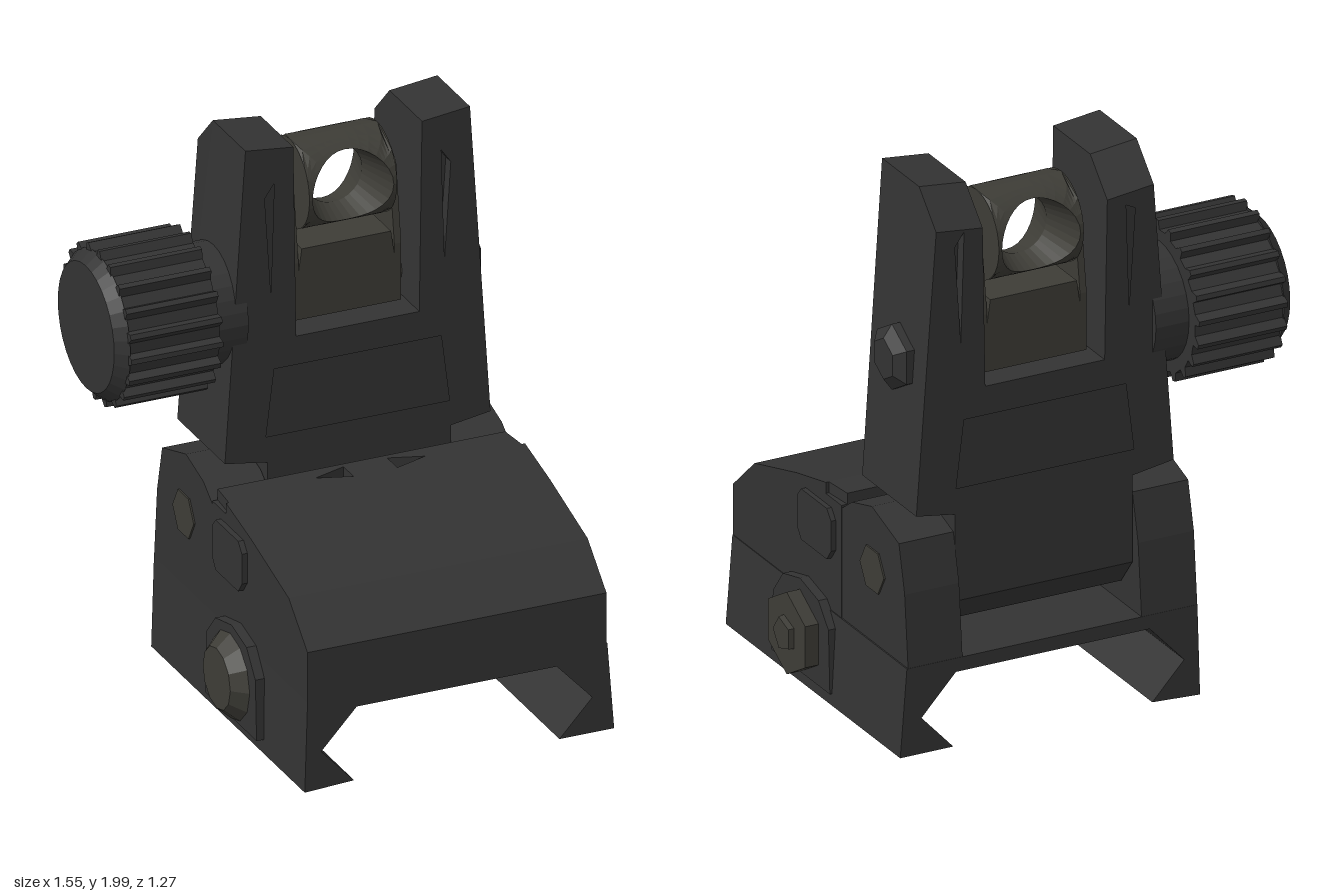
import * as THREE from 'three';
import { ParametricGeometry } from 'three/addons/geometries/ParametricGeometry.js';

const CX = 0.125; // mirror plane of the body, in x
const body = new THREE.MeshStandardMaterial({ color: 0x333333, flatShading: true });
const steel = new THREE.MeshStandardMaterial({ color: 0x3d3c36, flatShading: true });

const toShape = (pts, holes = []) => {
  const s = new THREE.Shape(pts.map(([x, y]) => new THREE.Vector2(x, y)));
  holes.forEach(h => s.holes.push(new THREE.Path(h.map(([x, y]) => new THREE.Vector2(x, y)))));
  return s;
};
const mirror = pts => pts.map(([x, y]) => [2 * CX - x, y]);

// Prism of an (x, y) outline running from z0 to z1
function frontPrism(pts, z0, z1, holes, steps = 1) {
  return new THREE.ExtrudeGeometry(toShape(pts, holes), { depth: z1 - z0, steps, bevelEnabled: false }).translate(0, 0, z0);
}
// Prism of a (z, y) outline running from x0 to x1
function sidePrism(pts, x0, x1) {
  return new THREE.ExtrudeGeometry(toShape(pts.map(([z, y]) => [-z, y])), { depth: x1 - x0, bevelEnabled: false })
    .rotateY(Math.PI / 2).translate(x0, 0, 0);
}
// Round or polygonal rod along x, radius r0 at x0 and r1 at x1
function rod(x0, x1, r0, r1, y, z, sides, turn = 0) {
  return new THREE.CylinderGeometry(r1, r0, x1 - x0, sides).rotateY(turn).rotateZ(-Math.PI / 2)
    .translate((x0 + x1) / 2, y, z);
}
function box(x0, x1, y0, y1, z0, z1) {
  return new THREE.BoxGeometry(x1 - x0, y1 - y0, z1 - z0).translate((x0 + x1) / 2, (y0 + y1) / 2, (z0 + z1) / 2);
}

export function createModel() {
  const model = new THREE.Group();
  model.name = 'foldingSight';
  const add = (name, geometry, material = body) => {
    const mesh = new THREE.Mesh(geometry, material);
    mesh.name = name;
    model.add(mesh);
  };

  // Clamp with the dovetail channel underneath
  add('railClamp', frontPrism([
    [-0.43, 0.01], [-0.25, 0.02], [-0.37, 0.15], [-0.24, 0.29], [0.49, 0.29], [0.62, 0.15],
    [0.5, 0.02], [0.7, 0.02], [0.675, 0.34], [-0.42, 0.34],
  ], -0.595, 0.63));

  // Sloping front housing, and its rear top plate with two arrow recesses
  add('frontHousing', sidePrism([
    [0.63, 0.33], [0.63, 0.525], [0.48, 0.66], [0.18, 0.745], [-0.02, 0.79], [-0.02, 0.75], [-0.13, 0.75], [-0.13, 0.33],
  ], -0.42, 0.672));
  const arrow = [[-0.07, 0.07], [0.05, 0.11], [0.05, 0.03]];
  add('topPlate', frontPrism(
    [[-0.41, 0.02], [0.66, 0.02], [0.65, 0.13], [-0.4, 0.13]], 0.75, 0.79, [arrow, mirror(arrow).map(([x, y]) => [x + 0.01, y])],
  ).rotateX(-Math.PI / 2));

  // Hinge ears, hinge pins and side buttons
  const ear = [[-0.12, 0.33], [-0.13, 0.74], [-0.2, 0.79], [-0.34, 0.83], [-0.53, 0.77], [-0.57, 0.6], [-0.595, 0.33]];
  add('rightEar', sidePrism(ear, -0.42, -0.21));
  add('leftEar', sidePrism(ear, 0.465, 0.67));
  const button = [[-0.09, 0.57], [-0.06, 0.53], [0.12, 0.53], [0.15, 0.57], [0.15, 0.68], [0.12, 0.715], [-0.06, 0.715], [-0.09, 0.68]];
  add('rightButton', sidePrism(button, -0.44, -0.4));
  add('leftButton', sidePrism(button, 0.65, 0.69));
  add('rightHingePin', rod(-0.426, -0.4, 0.085, 0.085, 0.605, -0.35, 6), steel);
  add('leftHingePin', rod(0.65, 0.676, 0.085, 0.085, 0.605, -0.35, 6), steel);

  // Clamp screws on their bosses
  const boss = [[0.3, 0.06], [0.29, 0.28], [0.22, 0.37], [0.1, 0.4], [-0.03, 0.37], [-0.1, 0.29], [-0.11, 0.06]];
  add('leftBoss', sidePrism(boss, 0.64, 0.705));
  add('rightBoss', sidePrism(boss, -0.455, -0.4));
  add('leftNut', rod(0.7, 0.755, 0.15, 0.15, 0.21, 0.1, 6, Math.PI / 2), steel);
  add('leftStud', rod(0.75, 0.775, 0.065, 0.06, 0.21, 0.1, 5), steel);
  add('rightScrewHead', rod(-0.505, -0.45, 0.11, 0.16, 0.21, 0.09, 12), steel);

  // Foot of the upright between the ears
  add('uprightFoot', sidePrism([
    [-0.16, 0.87], [-0.54, 0.87], [-0.54, 0.52], [-0.46, 0.42], [-0.16, 0.42],
  ], -0.205, 0.465));

  // Upright with two protecting posts; window and slits are recesses on both faces
  const half = [[-0.2, 0.835], [-0.36, 0.86], [-0.285, 2], [-0.11, 1.98], [-0.1, 1.28]];
  const windowCut = [[-0.18, 1.175], [0.43, 1.175], [0.46, 0.93], [-0.21, 0.93]];
  const slit = [[-0.215, 1.81], [-0.18, 1.86], [-0.192, 1.45]];
  const upright = frontPrism([...half, ...mirror(half).reverse()], -0.54, -0.16, [windowCut, slit, mirror(slit)], 2);
  const p = upright.attributes.position;
  for (let i = 0; i < p.count; i++) {
    // Chamfer the rear top edge of the posts
    if (Math.abs(p.getZ(i) + 0.35) < 0.01) p.setZ(i, -0.42);
    if (p.getZ(i) < -0.5 && p.getY(i) > 1.9) p.setY(i, p.getY(i) - 0.12);
  }
  upright.computeVertexNormals();
  add('upright', upright);
  add('windowFloor', box(-0.25, 0.5, 0.9, 1.22, -0.5, -0.2));
  add('rightSlitFloor', box(-0.24, -0.13, 1.4, 1.88, -0.5, -0.2));
  add('leftSlitFloor', box(0.38, 0.49, 1.4, 1.88, -0.5, -0.2));

  // Adjustment knob with sawtooth grip
  const KY = 1.365, KZ = -0.355, teeth = 20, grip = [];
  for (let i = 0; i < teeth; i++) {
    [[0, 0.25], [0.5, 0.255], [0.72, 0.283], [0.92, 0.28]].forEach(([f, r]) => {
      const a = (i + f) / teeth * Math.PI * 2;
      grip.push([KZ + r * Math.cos(a), KY + r * Math.sin(a)]);
    });
  }
  add('knobGrip', sidePrism(grip, -0.74, -0.405));
  add('knobCap', rod(-0.778, -0.735, 0.225, 0.262, KY, KZ, 32));
  add('knobCollar', rod(-0.41, -0.28, 0.21, 0.21, KY, KZ, 28));
  add('axleNut', rod(0.55, 0.6, 0.12, 0.12, KY, KZ + 0.005, 6, Math.PI / 2));
  add('axleNutTip', rod(0.6, 0.632, 0.12, 0.075, KY, KZ + 0.005, 6, Math.PI / 2));

  // Sliding carrier with two tapered arms
  add('windageAxle', rod(-0.13, 0.38, 0.055, 0.055, KY, KZ, 12), steel);
  add('carrier', frontPrism([[-0.075, 1.29], [0.325, 1.29], [0.288, 1.55], [-0.038, 1.55]], -0.46, -0.25), steel);
  const arm = [[-0.25, 1.29], [-0.25, 1.5], [-0.29, 1.78], [-0.33, 1.82], [-0.38, 1.82], [-0.42, 1.78], [-0.46, 1.5], [-0.46, 1.29]];
  add('rightArm', sidePrism(arm, -0.075, -0.05), steel);
  add('leftArm', sidePrism(arm, 0.3, 0.325), steel);
  add('apertureAxleRight', rod(-0.095, -0.02, 0.035, 0.035, 1.745, KZ, 10), steel);
  add('apertureAxleLeft', rod(0.27, 0.34, 0.035, 0.035, 1.745, KZ, 10), steel);

  // Aperture: a drum along x, pierced along z by a hole flared at both ends
  const R = 0.16;
  const drum = new ParametricGeometry((u, v, target) => {
    const a = u * Math.PI * 2, c = Math.cos(a), s = Math.sin(a);
    const step = Math.round(v * 10), side = step < 5 ? 1 : -1;
    if (step === 5) return target.set(0.105 * c, 0.105 * s, 0);
    let rim = 0.13;
    for (let k = 0; k < 8; k++) rim = 0.105 + 0.27 * Math.sqrt(R * R - (rim * s) ** 2);
    const edge = R / Math.max(Math.abs(c), Math.abs(s));
    const r = THREE.MathUtils.lerp(rim, edge, (Math.abs(step - 5) - 1) / 4);
    target.set(r * c, r * s, side * Math.sqrt(Math.max(0, R * R - (r * s) ** 2)));
  }, 32, 10).translate(CX, 1.75, KZ);
  const drumSteel = steel.clone();
  drumSteel.side = THREE.DoubleSide;
  add('aperture', drum, drumSteel);
  [-1, 1].forEach(d => add(d < 0 ? 'apertureRightEnd' : 'apertureLeftEnd',
    new THREE.CircleGeometry(R, 32).rotateY(d * Math.PI / 2).translate(CX + d * R, 1.75, KZ), drumSteel));

  return model;
}
